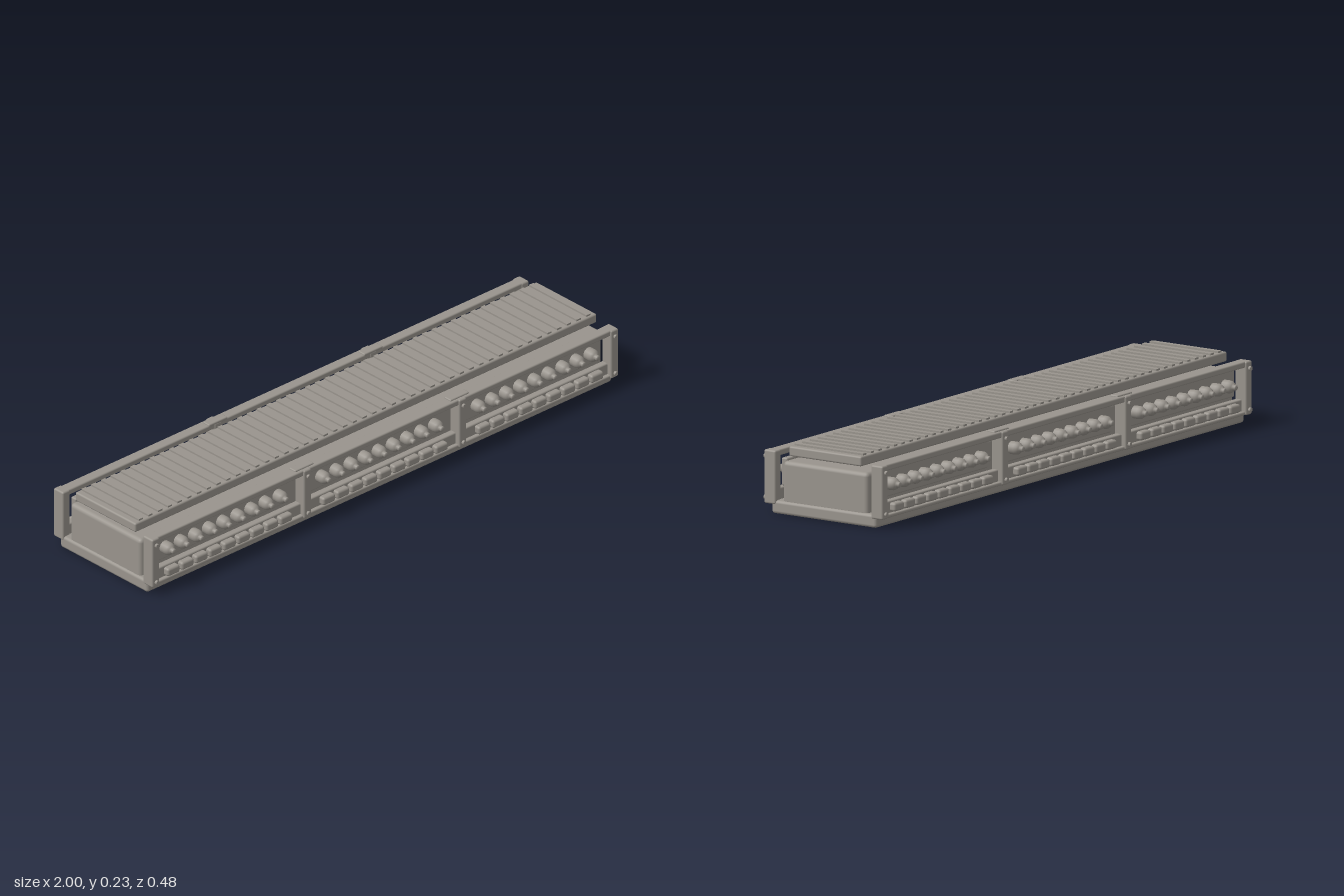
import * as THREE from 'three';
import { RoundedBoxGeometry } from 'three/addons/geometries/RoundedBoxGeometry.js';

const grey = new THREE.MeshStandardMaterial({ color: 0x99948d });
grey.name = 'warm grey';

function add(parent, name, geometry, x = 0, y = 0, z = 0) {
  const mesh = new THREE.Mesh(geometry, grey);
  mesh.name = name;
  mesh.position.set(x, y, z);
  parent.add(mesh);
  return mesh;
}

// Rounded box given by its extents on each axis
function block(parent, name, [x0, x1], [y0, y1], [z0, z1], r = 0.005) {
  const g = new RoundedBoxGeometry(x1 - x0, y1 - y0, z1 - z0, 2, r);
  return add(parent, name, g, (x0 + x1) / 2, (y0 + y1) / 2, (z0 + z1) / 2);
}

const lampGeometry = new THREE.LatheGeometry(
  [[0.021, 0], [0.021, 0.022], [0.019, 0.03], [0.014, 0.037], [0.009, 0.039], [0.009, 0.047], [0.006, 0.05], [0, 0.05]]
    .map(([r, h]) => new THREE.Vector2(r, h)), 16).rotateX(Math.PI / 2);
const screwGeometry = new THREE.CylinderGeometry(0.007, 0.007, 0.012, 10).rotateX(Math.PI / 2);

// One long side: frame, three recessed panels, lamps and lower blocks
function sidePanel() {
  const side = new THREE.Group();
  side.name = 'sidePanel';
  block(side, 'topRail', [-0.995, 0.995], [0.183, 0.203], [0.187, 0.225]);
  block(side, 'bottomRail', [-0.995, 0.995], [0.03, 0.08], [0.187, 0.212]);
  block(side, 'bottomLip', [-0.995, 0.995], [0.03, 0.042], [0.187, 0.225]);

  for (const x of [-0.984, -0.333, 0.333, 0.984]) {
    block(side, 'post', [x - 0.016, x + 0.016], [0.03, 0.203], [0.185, 0.23], 0.006);
    for (const y of [0.047, 0.18]) add(side, 'screw', screwGeometry, x, y, 0.232);
  }
  for (const x of [-0.333, 0.333]) {
    block(side, 'topBracket', [x - 0.04, x + 0.04], [0.198, 0.208], [0.185, 0.215], 0.004);
  }

  for (const x of [-0.667, 0, 0.667]) {
    block(side, 'recessedPanel', [x - 0.298, x + 0.298], [0.086, 0.176], [0.164, 0.187]);
    for (let i = -4; i <= 4; i++) {
      const lx = x + i * 0.0605;
      add(side, 'lamp', lampGeometry, lx, 0.13, 0.185);
      block(side, 'lowerBlock', [lx - 0.026, lx + 0.026], [0.046, 0.074], [0.205, 0.233], 0.008);
    }
  }
  return side;
}

export function createModel() {
  const model = new THREE.Group();
  model.name = 'slattedPlatform';

  // Base and core
  block(model, 'base', [-0.997, 0.997], [0, 0.043], [-0.203, 0.203], 0.01);
  block(model, 'body', [-0.99, 0.99], [0.03, 0.172], [-0.165, 0.165], 0.014);

  // Raised top deck with cross ribs
  block(model, 'topDeck', [-0.99, 0.99], [0.19, 0.222], [-0.14, 0.14], 0.006);
  const rib = new THREE.BoxGeometry(0.018, 0.01, 0.266);
  const count = 47;
  for (let i = 0; i < count; i++) {
    add(model, 'rib', rib, -0.96 + (1.92 * i) / (count - 1), 0.223, 0);
  }

  // Matching long sides, front and back
  const front = sidePanel();
  const back = sidePanel();
  front.name = 'frontSide';
  back.name = 'backSide';
  back.rotation.y = Math.PI;
  model.add(front, back);
  return model;
}
